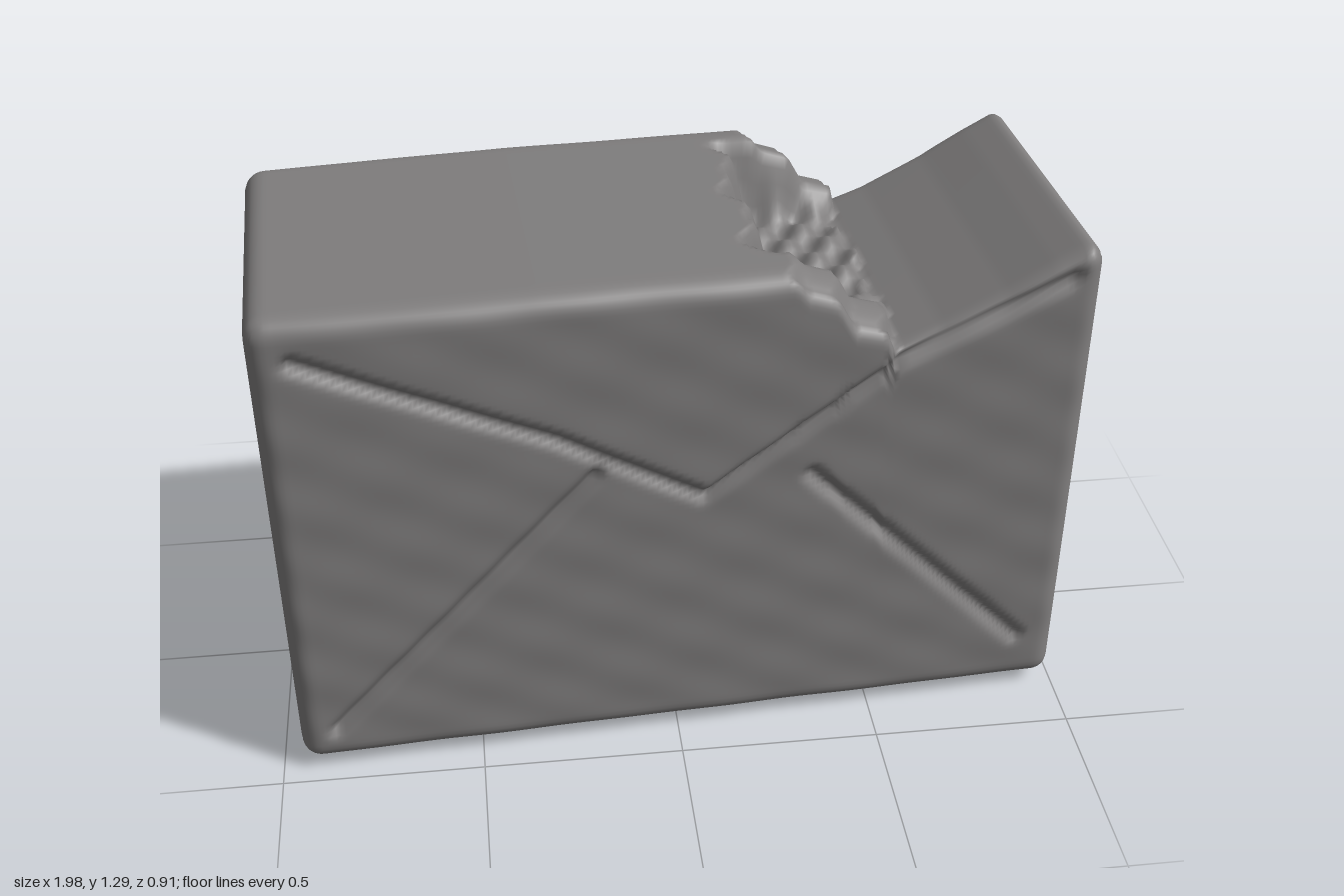
import * as THREE from 'three';

const W = 0.972, D = 0.395, R = 0.05;           // half width, half depth, edge rounding
const { clamp, smoothstep, lerp } = THREE.MathUtils;

// piecewise-linear curve through points
function along(pts, x) {
  if (x <= pts[0][0]) return pts[0][1];
  for (let i = 1; i < pts.length; i++) {
    const [x0, y0] = pts[i - 1], [x1, y1] = pts[i];
    if (x <= x1) return lerp(y0, y1, (x - x0) / (x1 - x0));
  }
  return pts[pts.length - 1][1];
}

// pressed seams of the envelope, shared by front and back
const flap = [[-0.88, 1.18], [-0.3, 0.91], [-0.1, 0.79], [0.04, 0.71], [0.5, 1.04], [0.9, 1.22]];
const seams = [flap, [[-0.88, 0.1], [-0.22, 0.8]], [[0.3, 0.74], [0.86, 0.15]]];

function seamDistance(pts, x, y) {
  let best = 9;
  for (let i = 1; i < pts.length; i++) {
    const [x0, y0] = pts[i - 1], [x1, y1] = pts[i];
    const dx = x1 - x0, dy = y1 - y0;
    const t = clamp(((x - x0) * dx + (y - y0) * dy) / (dx * dx + dy * dy), 0, 1);
    best = Math.min(best, Math.hypot(x - x0 - t * dx, y - y0 - t * dy));
  }
  return best;
}

// relief of the front and back faces: grooves, raised flap, soft ripples
function relief(x, y) {
  let d = 0.002 * Math.sin(x * 17 + y * 5) * Math.sin(y * 31 + x * 4);
  for (const s of seams) d -= 0.024 * Math.exp(-((seamDistance(s, x, y) / 0.017) ** 2));
  const inside = smoothstep(x, -0.95, -0.6) * (1 - smoothstep(x, 0.5, 0.6));
  return d + 0.012 * inside * smoothstep(y - along(flap, x), 0, 0.03);
}

// height of the top: closed lid, torn hole, rising open side
const tornRim = [[0.26, 1.295], [0.29, 1.26], [0.36, 1.235], [0.4, 1.16], [0.48, 1.135], [0.5, 1.07]];
const openSide = [[0.5, 1.07], [0.6, 1.11], [0.75, 1.185], [0.86, 1.25], [0.94, 1.292]];
function topHeight(x, z) {
  if (x > 0.5) return along(openSide, x);
  const lid = 1.285 + 0.015 * (1 - Math.abs(x));
  const wobble = 0.02 * Math.sin(z * 23) + 0.013 * Math.sin(z * 51 + 1);
  const rim = Math.min(lid, along(tornRim, x + wobble * (x > 0.2 ? 1 : 0)));
  const edge = 0.18 + wobble;
  const floor = 1.085 + 0.018 * Math.sin(x * 60) * Math.sin(z * 42);
  const hole = smoothstep(x, edge, edge + 0.07) * (1 - smoothstep(Math.abs(z + 0.02), 0.22, 0.3));
  return lerp(rim, Math.min(rim, floor), hole);
}

// one cross-section as a list of [z, fraction of height]
function sectionLoop() {
  const loop = [], sides = [[1, 0, 1, 1, 96], [1, 1, -1, 1, 56], [-1, 1, -1, 0, 96], [-1, 0, 1, 0, 30]];
  for (const [z0, y0, z1, y1, n] of sides)
    for (let k = 0; k < n; k++) loop.push([D * lerp(z0, z1, k / n), lerp(y0, y1, k / n)]);
  return loop;
}

function buildBody() {
  const loop = sectionLoop(), n = loop.length;
  const caps = [0, 0.5, 0.85, 0.9, 0.94, 0.97], columns = 156;
  const rows = caps.map(s => [-W, s]);
  for (let i = 0; i <= columns; i++) rows.push([lerp(-W, W, i / columns), 1]);
  for (const s of [...caps].reverse()) rows.push([W, s]);

  const pos = [], index = [];
  for (const [x, s] of rows) for (const [bz, f] of loop) {
    const H = topHeight(x, bz), mid = 0.64;
    const z = bz * s, y = lerp(mid, f * H, s);
    // round every edge by pushing out from an inner box
    const q = new THREE.Vector3(clamp(x, -W + R, W - R), clamp(y, R, H - R), clamp(z, -D + R, D - R));
    const dir = new THREE.Vector3(x, y, z).sub(q);
    const len = dir.length();
    const p = len > 1e-6 ? q.clone().addScaledVector(dir, R / len) : q;
    if (s === 1 && len > 1e-6) p.z += relief(p.x, p.y) * (dir.z / len);
    // slight lean of the front face and tilt of the base
    const up = p.y / 1.28;
    if (p.z > 0) p.z *= 1 + 0.09 * (0.5 - up);
    p.y += (1 - up) * (0.016 + 0.036 * p.z);
    pos.push(p.x, p.y, p.z);
  }
  for (let i = 0; i < rows.length - 1; i++) for (let j = 0; j < n; j++) {
    const k = (j + 1) % n;
    const a = i * n + j, b = a + n, c = (i + 1) * n + k, d = i * n + k;
    index.push(a, b, c, a, c, d);
  }
  const geo = new THREE.BufferGeometry();
  geo.setAttribute('position', new THREE.Float32BufferAttribute(pos, 3));
  geo.setIndex(index);
  geo.computeVertexNormals();
  return geo;
}

export function createModel() {
  const group = new THREE.Group();
  group.name = 'tornEnvelope';
  const grey = new THREE.MeshStandardMaterial({ color: 0x7f7d7d });
  grey.name = 'grey';
  const body = new THREE.Mesh(buildBody(), grey);
  body.name = 'envelopeBody';
  body.rotation.y = 0.057;
  group.add(body);
  return group;
}
